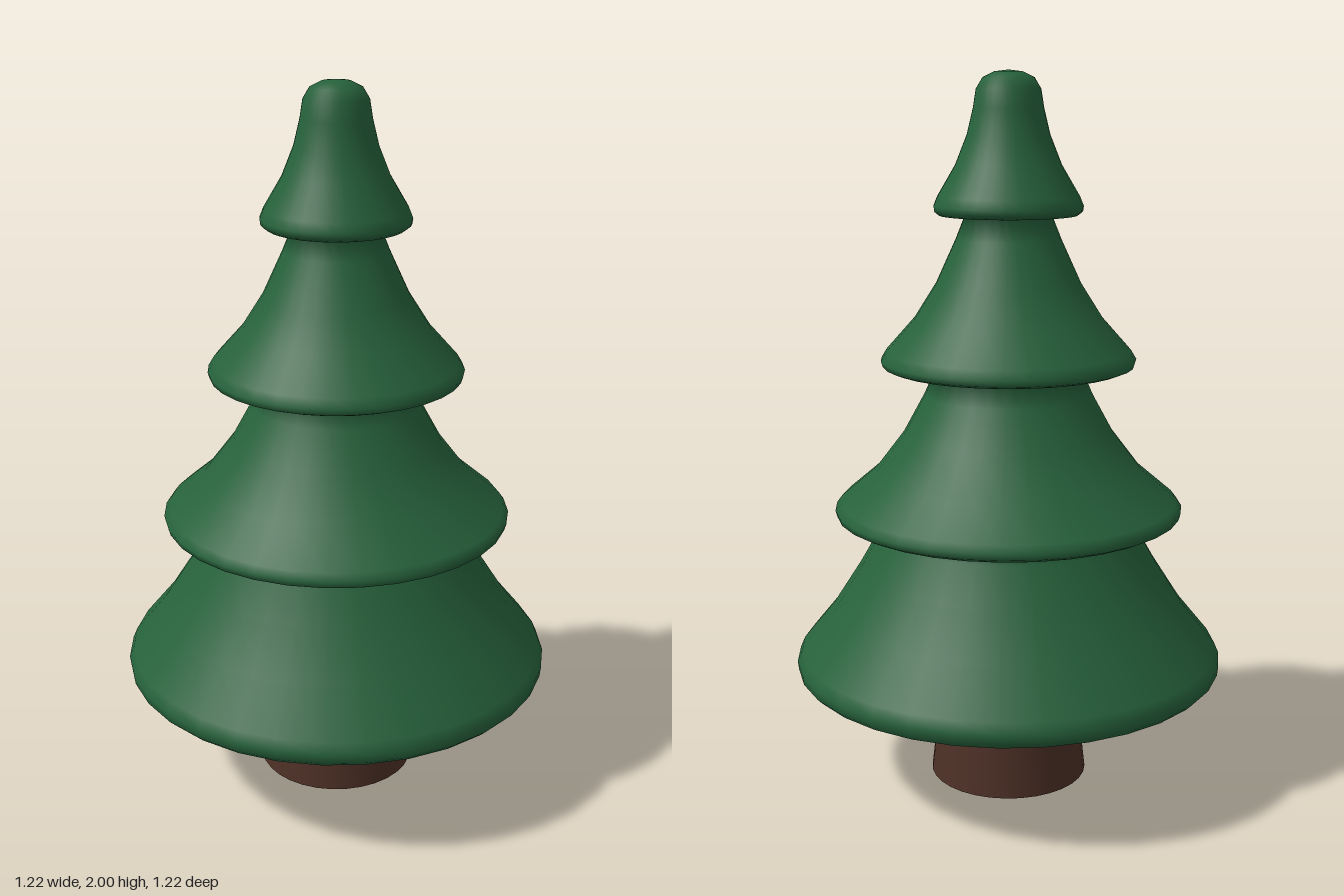
import * as THREE from 'three';

const SEGMENTS = 32;

export function createModel() {
  const needles = new THREE.MeshStandardMaterial({ color: 0x26613b });
  needles.name = 'needle green';
  const bark = new THREE.MeshStandardMaterial({ color: 0x4d3026 });
  bark.name = 'bark brown';

  const tree = new THREE.Group();
  tree.name = 'pineTree';

  // Foliage tiers, each an outline of [radius, height] from its rim upwards
  const tiers = [
    [[0.59, 0.32], [0.605, 0.335], [0.608, 0.36], [0.595, 0.39], [0.505, 0.5], [0.425, 0.625], [0.365, 0.73], [0.345, 0.78]],
    [[0.46, 0.77], [0.485, 0.782], [0.49, 0.8], [0.475, 0.82], [0.375, 0.905], [0.295, 1.01], [0.235, 1.12], [0.2, 1.2]],
    [[0.33, 1.195], [0.35, 1.203], [0.355, 1.22], [0.34, 1.245], [0.26, 1.335], [0.2, 1.43], [0.145, 1.55], [0.115, 1.625]],
    [[0.19, 1.615], [0.203, 1.625], [0.205, 1.64], [0.195, 1.665], [0.145, 1.75], [0.113, 1.83], [0.096, 1.9], [0.088, 1.95],
      [0.07, 1.98], [0.04, 1.995], [0, 2]],
  ];
  const outline = tiers.flat().map(([r, y]) => new THREE.Vector2(r, y));
  const foliage = new THREE.Mesh(new THREE.LatheGeometry(outline, SEGMENTS), needles);
  foliage.name = 'foliage';
  tree.add(foliage);

  // Flat underside of the lowest tier
  const underside = new THREE.Mesh(new THREE.CircleGeometry(0.59, SEGMENTS), needles);
  underside.name = 'foliageUnderside';
  underside.rotation.x = Math.PI / 2;
  underside.position.y = 0.32;
  tree.add(underside);

  // Tapered trunk
  const trunk = new THREE.Mesh(new THREE.CylinderGeometry(0.188, 0.225, 0.33, SEGMENTS), bark);
  trunk.name = 'trunk';
  trunk.position.y = 0.165;
  tree.add(trunk);

  return tree;
}
